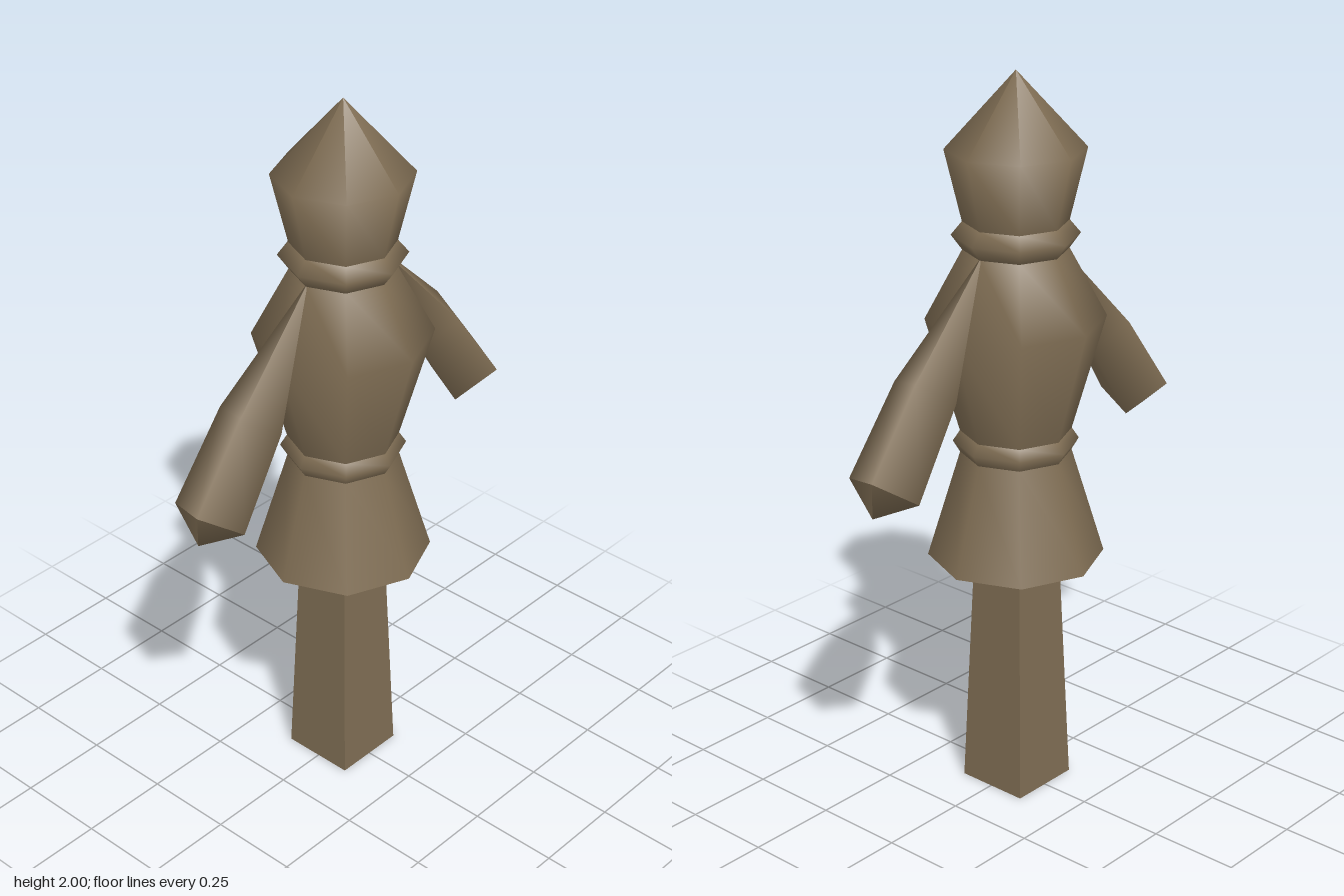
import * as THREE from 'three';

export function createModel() {
  const model = new THREE.Group();
  const wood = new THREE.MeshStandardMaterial({ color: 0x806e54, side: THREE.DoubleSide });
  wood.name = 'weathered wood';

  // Turned part: profile of [radius, height], bottom to top
  function turned(name, profile, sides = 8, start = 0) {
    const points = profile.map(([r, y]) => new THREE.Vector2(r, y));
    const mesh = new THREE.Mesh(new THREE.LatheGeometry(points, sides, start), wood);
    mesh.name = name;
    return mesh;
  }

  // Square tapered post, open at both ends, with hard edges
  const postGeometry = new THREE.CylinderGeometry(0.1, 0.147, 0.98, 4, 1, true, Math.PI / 4).toNonIndexed();
  postGeometry.computeVertexNormals();
  const post = new THREE.Mesh(postGeometry, wood);
  post.name = 'post';
  post.position.set(0, 0.49, -0.003);
  model.add(post);

  // Eight-sided figure
  model.add(
    turned('skirt', [[0.237, 0.68], [0.148, 0.976]]),
    turned('belt', [[0.148, 0.976], [0.167, 1.008], [0.148, 1.037]]),
    turned('torso', [[0.148, 1.037], [0.237, 1.35], [0.138, 1.535]]),
    turned('collar', [[0.138, 1.535], [0.167, 1.575], [0.138, 1.61]]),
    turned('head', [[0.138, 1.61], [0.183, 1.8], [0, 2]])
  );

  // Four-sided arms, pointed at the shoulder and the hand
  for (const side of ['left', 'right']) {
    const arm = new THREE.Group();
    arm.name = side + 'Arm';
    const limb = new THREE.Group();
    limb.name = side + 'Limb';
    limb.add(
      turned(side + 'Sleeve', [[0, 0], [0.088, 0.374], [0.1, 0.643]], 4, 1.215),
      turned(side + 'Hand', [[0.1, 0.643], [0, 0.718]], 4, 1.215)
    );
    limb.position.set(0.13, 1.545, 0);
    limb.rotation.z = -2.532;
    arm.add(limb);
    if (side === 'right') arm.rotation.y = Math.PI;
    model.add(arm);
  }
  return model;
}
